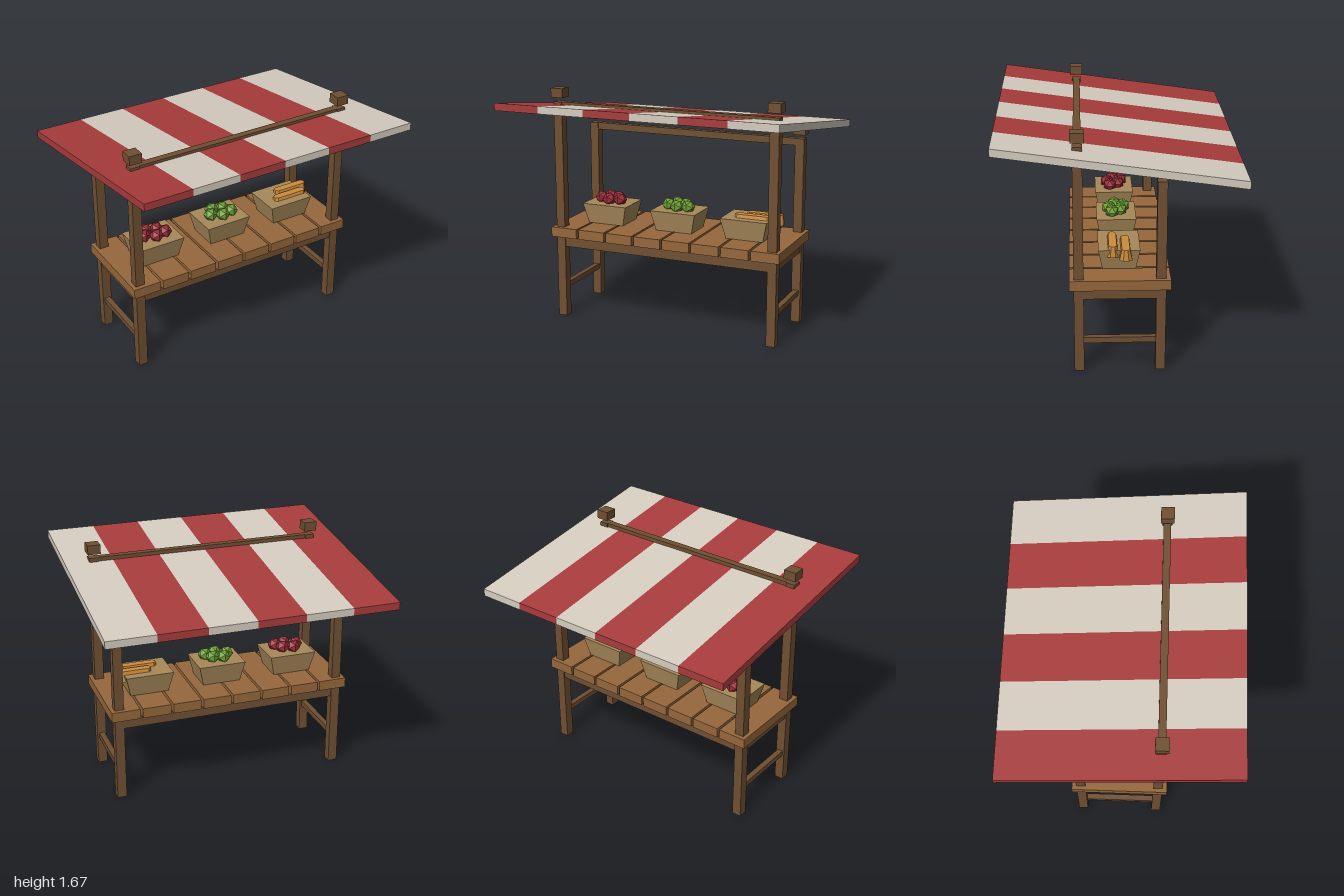
import * as THREE from 'three';

const mat = (name, color) => {
  const m = new THREE.MeshStandardMaterial({ color });
  m.name = name;
  m.flatShading = true;
  return m;
};

export function createModel() {
  const root = new THREE.Group();
  root.name = 'marketStall';

  const timber = mat('dark timber', 0x705032);
  const plankWood = mat('plank wood', 0x96673b);
  const crateWood = mat('crate wood', 0xa88a5a);
  const red = mat('canopy red', 0xa83c3c);
  const cream = mat('canopy cream', 0xd6cdc0);
  const appleRed = mat('apple red', 0x9c2c38);
  const green = mat('cabbage green', 0x6ca032);
  const crust = mat('bread crust', 0xcd8c3c);

  const add = (name, geometry, material, x, y, z) => {
    const mesh = new THREE.Mesh(geometry, material);
    mesh.name = name;
    mesh.position.set(x, y, z);
    root.add(mesh);
    return mesh;
  };
  // Box placed by its centre in x and z and by its bottom and top in y
  const box = (name, material, w, d, x, y0, y1, z) =>
    add(name, new THREE.BoxGeometry(w, y1 - y0, d), material, x, (y0 + y1) / 2, z);

  // Upright prism over an outline (chamfer cuts the corners), scaled at the top
  const taperedBlock = (w, d, h, topX, topZ, cutX = 0, cutZ = 0) => {
    const a = w / 2, b = d / 2;
    const pts = cutX
      ? [[a, -b + cutZ], [a, b - cutZ], [a - cutX, b], [-a + cutX, b],
         [-a, b - cutZ], [-a, -b + cutZ], [-a + cutX, -b], [a - cutX, -b]]
      : [[a, -b], [a, b], [-a, b], [-a, -b]];
    const shape = new THREE.Shape(pts.map(p => new THREE.Vector2(...p)));
    const g = new THREE.ExtrudeGeometry(shape, { depth: h, bevelEnabled: false });
    g.rotateX(-Math.PI / 2);
    const p = g.attributes.position;
    for (let i = 0; i < p.count; i++) {
      const t = p.getY(i) / h;
      p.setX(i, p.getX(i) * (1 + (topX - 1) * t));
      p.setZ(i, p.getZ(i) * (1 + (topZ - 1) * t));
    }
    g.computeVertexNormals();
    return g;
  };

  // Posts with floating caps, plus side rails
  for (const x of [-0.8, 0.8]) {
    box('frontPost', timber, 0.065, 0.065, x, 0, 1.575, 0.27);
    box('backPost', timber, 0.065, 0.065, x, 0, 1.34, -0.27);
    box('frontPostCap', timber, 0.09, 0.09, x, 1.605, 1.67, 0.27);
    box('backPostCap', timber, 0.09, 0.09, x, 1.37, 1.435, -0.265);
    box('sideApron', timber, 0.05, 0.475, x, 0.525, 0.6, 0);
    box('sideStretcher', timber, 0.04, 0.475, x, 0.2, 0.24, 0);
  }

  // Long rails and roof beams
  for (const z of [-0.27, 0.27]) {
    box('longApron', timber, 1.535, 0.05, 0, 0.525, 0.6, z);
    const top = z > 0 ? 1.575 : 1.34;
    box('roofBeam', timber, 1.535, 0.05, 0, top - 0.05, top, z);
  }

  // Counter planks
  for (let i = 0; i < 8; i++) {
    box('counterPlank', plankWood, 0.2, 0.665, -0.76 + i * 0.2171, 0.6, 0.67, 0);
  }

  // Striped canopy, sheared so that it slopes down to the back
  for (let i = 0; i < 6; i++) {
    const g = new THREE.BoxGeometry(1 / 3, 0.052, 1.6);
    const p = g.attributes.position;
    for (let j = 0; j < p.count; j++) p.setY(j, p.getY(j) + p.getZ(j) * 0.144);
    g.computeVertexNormals();
    add('canopyStripe', g, i % 2 ? cream : red, -1 + (i + 0.5) / 3, 1.487, 0);
  }

  // Crates
  const crateX = [-0.535, 0, 0.53];
  for (const x of crateX) {
    add('crate', taperedBlock(0.272, 0.222, 0.145, 1.25, 1.25), crateWood, x, 0.67, 0);
  }

  // Round produce
  const spots = [[-0.078, 0.01], [-0.035, -0.05], [0, 0.05], [0.04, -0.03], [0.078, 0.03]];
  const produce = new THREE.IcosahedronGeometry(0.05, 0);
  [['apple', appleRed], ['cabbage', green]].forEach(([name, material], k) => {
    for (const [x, z] of spots) add(name, produce, material, crateX[k] + x, 0.842, z);
  });

  // Loaves
  const loaf = taperedBlock(0.27, 0.085, 0.075, 0.95, 0.62, 0.02, 0.024);
  add('loaf', loaf, crust, 0.57, 0.765, 0.042);
  add('loaf', loaf, crust, 0.63, 0.765, -0.042);

  return root;
}
